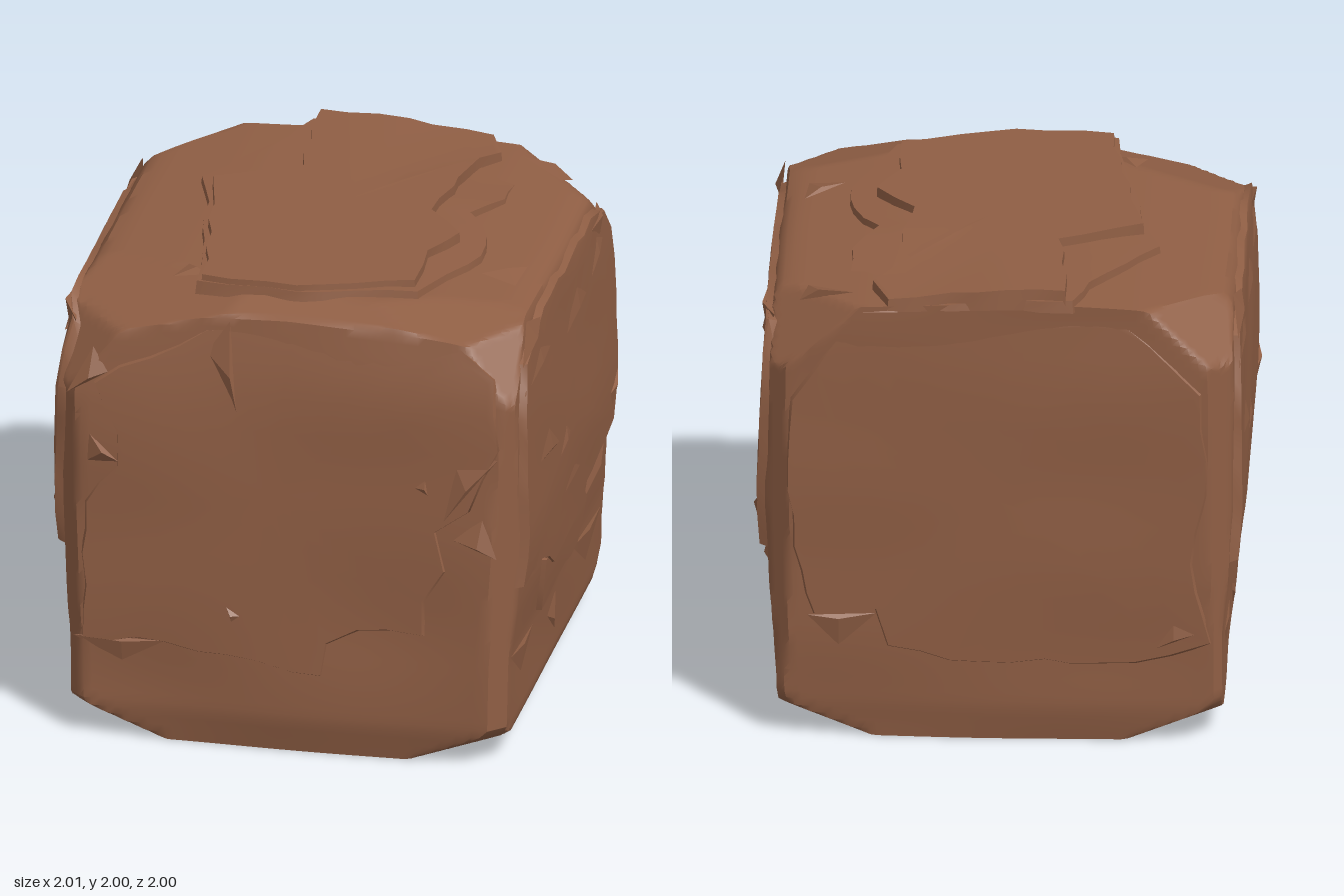
import * as THREE from 'three';
import { toCreasedNormals } from 'three/addons/utils/BufferGeometryUtils.js';

const V = (x, y, z) => new THREE.Vector3(x, y, z);

// Piecewise-linear lookup through [key, value] pairs
function lerpTable(table, t) {
  if (t <= table[0][0]) return table[0][1];
  for (let i = 1; i < table.length; i++) {
    const [a, p] = table[i - 1], [b, q] = table[i];
    if (t <= b) return p + (q - p) * (t - a) / (b - a);
  }
  return table[table.length - 1][1];
}

// Depth of the weathered block on each side, by height (top: by |x|)
const side = [[0, 0.87], [0.1, 0.91], [0.45, 0.915], [0.65, 0.935], [1, 0.955], [1.5, 0.95], [1.8, 0.94], [1.95, 0.92]];
const depth = {
  left: side, right: side,
  front: [[0, 0.95], [0.15, 0.98], [0.4, 0.975], [0.7, 0.965], [1.1, 0.95], [1.5, 0.93], [1.7, 0.905], [1.95, 0.86]],
  back: [[0, 0.94], [0.15, 0.965], [0.7, 0.98], [1.95, 0.98]],
  top: [[0, 1.94], [0.6, 1.915], [0.9, 1.885], [1, 1.86]],
};

// Broken corners and edges as cutting planes: normal, point
const cuts = [
  [V(-0.2, 0.9, 0.25), V(-0.72, 1.85, 0.6)], [V(-0.5, 0.45, 0.5), V(-0.94, 1.55, 0.86)],
  [V(0.15, 0.9, 0.2), V(0.78, 1.86, 0.68)], [V(0.5, 0.45, 0.45), V(0.94, 1.6, 0.87)],
  [V(-0.12, 0.13, -0.1), V(-0.95, 1.62, -0.93)], [V(0.12, 0.13, -0.1), V(0.95, 1.6, -0.93)],
  [V(0, 0.8, 0.6), V(0, 1.88, 0.86)], [V(0, 0.93, 0.35), V(0, 1.93, 0.72)],
];
for (const s of [-1, 1]) {
  cuts.push([V(s, 0, 1), V(s * 0.9, 1, 0.92)], [V(s, 0, -1), V(s * 0.91, 1, -0.93)]);
  cuts.push([V(s, -0.8, 0), V(s * 0.9, 0.1, 0)], [V(s, 0.8, 0), V(s * 0.92, 1.85, 0)]);
  for (const f of [-1, 1]) {
    cuts.push([V(s, -1.1, f), V(s * 0.87, 0.14, f * 0.92)], [V(s, -2.5, f), V(s * 0.8, 0.08, f * 0.85)]);
  }
}
for (const [n] of cuts) n.normalize();
function clip(p, slack = 0) {
  for (let k = 0; k < 4; k++) for (const [n, o] of cuts) {
    const over = n.dot(p) - n.dot(o) - slack;
    if (over > 0) p.addScaledVector(n, -over);
  }
  p.y = Math.max(0, p.y);
  return p;
}

// Slow undulation of the stone
const wave = (x, y, z) => 0.006 * (Math.sin(5 * x + 3 * y + 1) + Math.sin(9 * y - 4 * z) * Math.cos(3 * x + 2 * z));

// Maps face coordinates (a, b) and outward distance d to space
const place = {
  front: (a, b, d) => V(a, b, d), back: (a, b, d) => V(a, b, -d),
  right: (a, b, d) => V(d, b, a), left: (a, b, d) => V(-d, b, a),
  top: (a, b, d) => V(a, d, b),
};
const flipped = { front: false, back: true, right: true, left: false, top: true };
const level = (face, a, b) => lerpTable(depth[face], face === 'top' ? Math.abs(a) : b);
const bulge = (a, b) => 0.038 - 0.015 * Math.abs(b - 1);

function build(pos, index, crease) {
  const g = new THREE.BufferGeometry();
  g.setAttribute('position', new THREE.Float32BufferAttribute(pos, 3));
  g.setIndex(index);
  return toCreasedNormals(g, crease);
}

// Raised layer: irregular outline with a steep rim and a domed cap of rings
function layerGeometry(face, outline, rise, seed) {
  const pts = [];
  outline.forEach(([a, b], i) => {
    const [c, d] = outline[(i + 1) % outline.length];
    const n = Math.max(1, Math.round(Math.hypot(c - a, d - b) / 0.13));
    for (let k = 0; k < n; k++) {
      const j = k ? 0.012 * Math.sin(seed + i * 7.3 + k * 4.1) : 0;
      pts.push([a + (c - a) * k / n + j, b + (d - b) * k / n - j]);
    }
  });
  let area = 0;
  pts.forEach(([a, b], i) => { const [c, d] = pts[(i + 1) % pts.length]; area += a * d - b * c; });
  if ((area < 0) !== flipped[face]) pts.reverse();
  const n = pts.length, pos = [], index = [];
  const ca = pts.reduce((s, p) => s + p[0], 0) / n, cb = pts.reduce((s, p) => s + p[1], 0) / n;
  const rim = face === 'top' ? 1.01 : 1.03;
  const scales = [rim, 1, 0.97, 0.8, 0.6, 0.4, 0.2, 0.001];
  scales.forEach((s, r) => {
    for (const [u, v] of pts) {
      const a = ca + (u - ca) * s, b = cb + (v - cb) * s;
      let d = level(face, a, b) + (r === 0 ? -0.025 : rise(a, b));
      const q = place[face](a, b, d);
      if (face !== 'top' && r) d += wave(q.x, q.y, q.z) * 0.7;
      const p = place[face](a, b, d);
      if (face !== 'top') clip(p, r ? 0.02 : -0.02);
      pos.push(p.x, p.y, p.z);
    }
  });
  for (let r = 0; r < scales.length - 1; r++) for (let i = 0; i < n; i++) {
    const j = (i + 1) % n, a = r * n + i, b = r * n + j;
    index.push(a, b, b + n, a, b + n, a + n);
  }
  return build(pos, index, 0.6);
}

// Flake: a steep lip along a crack, tapering back into the face
function flakeGeometry(face, [a0, b0, a1, b1, ta, tb, h]) {
  const onSlab = (face === 'left' || face === 'right') && b0 > 0.8;
  const at = (a, b, up) => {
    const d = level(face, a, b) + up + (onSlab ? bulge(a, b) - 0.004 : 0.006);
    const q = place[face](a, b, d);
    return clip(place[face](a, b, d + wave(q.x, q.y, q.z) * 0.7), 0.025);
  };
  const m = [a0 * 0.45 + a1 * 0.55, b0 * 0.45 + b1 * 0.55];
  const A = at(a0, b0, 0), B = at(a1, b1, 0);
  const R = at(m[0] + ta * 0.12, m[1] + tb * 0.12, h), T = at(m[0] + ta, m[1] + tb, -0.006);
  const cross = (a1 - a0) * tb - (b1 - b0) * ta;
  const tris = [0, 1, 2, 1, 3, 2, 3, 0, 2];
  if ((cross < 0) !== flipped[face]) tris.reverse();
  return build([A, B, R, T].flatMap((p) => p.toArray()), tris, 0.1);
}

export function createModel() {
  const group = new THREE.Group();
  const stone = new THREE.MeshStandardMaterial({ color: 0x8f5e44, side: THREE.DoubleSide });
  stone.name = 'brown stone';
  const add = (name, geometry) => {
    const mesh = new THREE.Mesh(geometry, stone);
    mesh.name = name;
    group.add(mesh);
  };

  // Main block
  const box = new THREE.BoxGeometry(2, 2, 2, 56, 56, 56);
  const p = box.attributes.position;
  for (let i = 0; i < p.count; i++) {
    const px = p.getX(i), pz = p.getZ(i), t = (p.getY(i) + 1) / 2;
    const y = t * level('top', px, 0);
    const q = V(px * lerpTable(side, y), y, pz * lerpTable(depth[pz > 0 ? 'front' : 'back'], y));
    const w = wave(q.x, q.y, q.z);
    q.x += w * px;
    q.z += w * pz;
    clip(q);
    p.setXYZ(i, q.x, q.y, q.z);
  }
  add('block', toCreasedNormals(box, 0.6));

  // Stepped top layers, dipping towards one back corner
  const dip = (a, b) => 0.16 * Math.max(0, a) * Math.max(0, -b - 0.3);
  add('topStep', layerGeometry('top', [[-0.3, -0.98], [-0.36, -0.78], [-0.63, -0.35], [-0.58, -0.2], [-0.48, 0.3], [-0.42, 0.73],
    [0, 0.76], [0.48, 0.64], [0.65, 0.2], [0.63, 0], [0.52, -0.2], [0.62, -0.4], [0.62, -0.6], [0.52, -0.75], [0.55, -0.98]],
  (a, b) => 1.955 - 0.08 * Math.max(0, Math.abs(a) - 0.4) - dip(a, b) - level('top', a, 0), 1));
  add('topSlab', layerGeometry('top', [[-0.27, -0.98], [-0.27, -0.8], [-0.22, -0.42], [-0.56, -0.24], [-0.45, 0.3], [-0.4, 0.72],
    [0, 0.75], [0.46, 0.6], [0.45, 0.3], [0.54, 0.1], [0.38, -0.1], [0.45, -0.7], [0.52, -0.8], [0.45, -0.98]],
  (a, b) => 2 - 0.012 * (b + 1) - dip(a, b) - level('top', a, 0), 2));

  // Front and back sheets, fading into the block near the top
  const sheet = (a, b) => 0.013 - 0.07 * Math.max(0, b - 1.6);
  add('frontSheet', layerGeometry('front', [[-0.84, 0.44], [-0.5, 0.45], [0.15, 0.36], [0.17, 0.5], [0.3, 0.57], [0.57, 0.57],
    [0.57, 0.72], [0.66, 0.86], [0.62, 1.03], [0.76, 1.13], [0.88, 1.4], [0.86, 1.7], [0.7, 1.82], [-0.24, 1.82], [-0.35, 1.8],
    [-0.8, 1.55], [-0.7, 1.34], [-0.7, 1.2], [-0.83, 1.03]], sheet, 3));
  add('backSheet', layerGeometry('back', [[-0.86, 0.45], [-0.55, 0.36], [0.2, 0.36], [0.45, 0.42], [0.5, 0.58], [0.75, 0.56],
    [0.8, 0.75], [0.86, 1.1], [0.84, 1.5], [0.6, 1.85], [-0.5, 1.85], [-0.82, 1.55], [-0.84, 1.1], [-0.78, 0.8]], sheet, 4));

  // Overhanging side slabs with a broken ledge below each
  const ledge = [[0.88, 0.78], [0.55, 0.77], [0.28, 0.64], [-0.15, 0.65], [-0.3, 0.73], [-0.6, 0.77], [-0.84, 0.8],
    [-0.87, 1.1], [-0.9, 1.5], [-0.78, 1.78], [-0.5, 1.83], [0.4, 1.82], [0.76, 1.72], [0.83, 1.5], [0.85, 1]];
  const shelf = [[0.41, 0.7], [0.37, 0.46], [0.1, 0.5], [-0.3, 0.48], [-0.42, 0.63], [-0.3, 0.74], [0, 0.75]];
  for (const [face, s] of [['right', 1], ['left', -1]]) {
    add(face + 'Slab', layerGeometry(face, ledge.map(([z, y]) => [z * s, y]), bulge, 5 + s));
    add(face + 'Shelf', layerGeometry(face, shelf.map(([z, y]) => [z * s, y]), () => 0.024, 9 + s));
    // Cracks: start, end, taper direction, height
    [[0.65, 1.22, 0.2, 1.15, 0.05, 0.2, 0.016], [0.27, 1.07, 0.02, 1.13, -0.03, 0.14, 0.013],
      [0.08, 1.53, -0.4, 1.57, 0, 0.18, 0.016], [-0.4, 1.57, -0.72, 1.68, 0, 0.14, 0.014],
      [0.2, 0.87, -0.25, 0.88, 0, 0.12, 0.01], [0.83, 1.6, 0.25, 1.62, 0, 0.14, 0.014],
      [0.8, 1.72, 0.45, 1.8, 0.05, 0.1, 0.02], [-0.45, 1.78, -0.8, 1.82, 0, -0.14, 0.02],
      [0.9, 0.47, 0.45, 0.43, 0, -0.14, 0.01], [-0.3, 0.45, -0.85, 0.4, 0, -0.16, 0.01],
      [-0.45, 0.6, -0.8, 0.72, 0.05, 0.1, 0.025], [-0.72, 0.95, -0.88, 1.02, 0.04, -0.16, 0.018],
      [0.16, 0.34, 0, 0.22, -0.08, 0.12, 0.012]].forEach(([a, b, c, d, e, f, h]) =>
      add(face + 'Crack', flakeGeometry(face, [a * s, b, c * s, d, e * s, f, h])));
  }

  // Chips on the front, back and top
  const chips = {
    front: [[-0.25, 1.85, -0.2, 1.42, -0.12, 0.1, 0.03], [0.62, 1.02, 0.88, 1.36, -0.08, 0.16, 0.025],
      [0.7, 1, 0.88, 0.93, 0.02, 0.14, 0.025], [-0.82, 1.33, -0.7, 1.22, -0.08, -0.06, 0.025],
      [-0.9, 0.44, -0.5, 0.45, 0, -0.1, 0.012], [-0.25, 0.64, -0.22, 0.55, 0.08, 0, 0.02],
      [0.58, 1.27, 0.6, 1.17, -0.1, 0, 0.018], [-0.92, 1.5, -0.75, 1.6, 0, 0.15, 0.02]],
    back: [[-0.85, 0.5, -0.6, 0.4, 0, 0.15, 0.02], [0.5, 0.56, 0.78, 0.55, 0, -0.14, 0.015]],
    top: [[-0.45, -0.5, -0.42, -0.36, -0.12, -0.03, 0.02], [0.68, 0.32, 0.84, 0.18, 0.06, 0.12, 0.015],
      [-0.5, 0.5, -0.4, 0.6, -0.1, 0.06, 0.015], [0.6, -0.85, 0.85, -0.82, 0.05, 0.12, 0.015]],
  };
  for (const face in chips) for (const chip of chips[face]) add(face + 'Chip', flakeGeometry(face, chip));
  return group;
}
